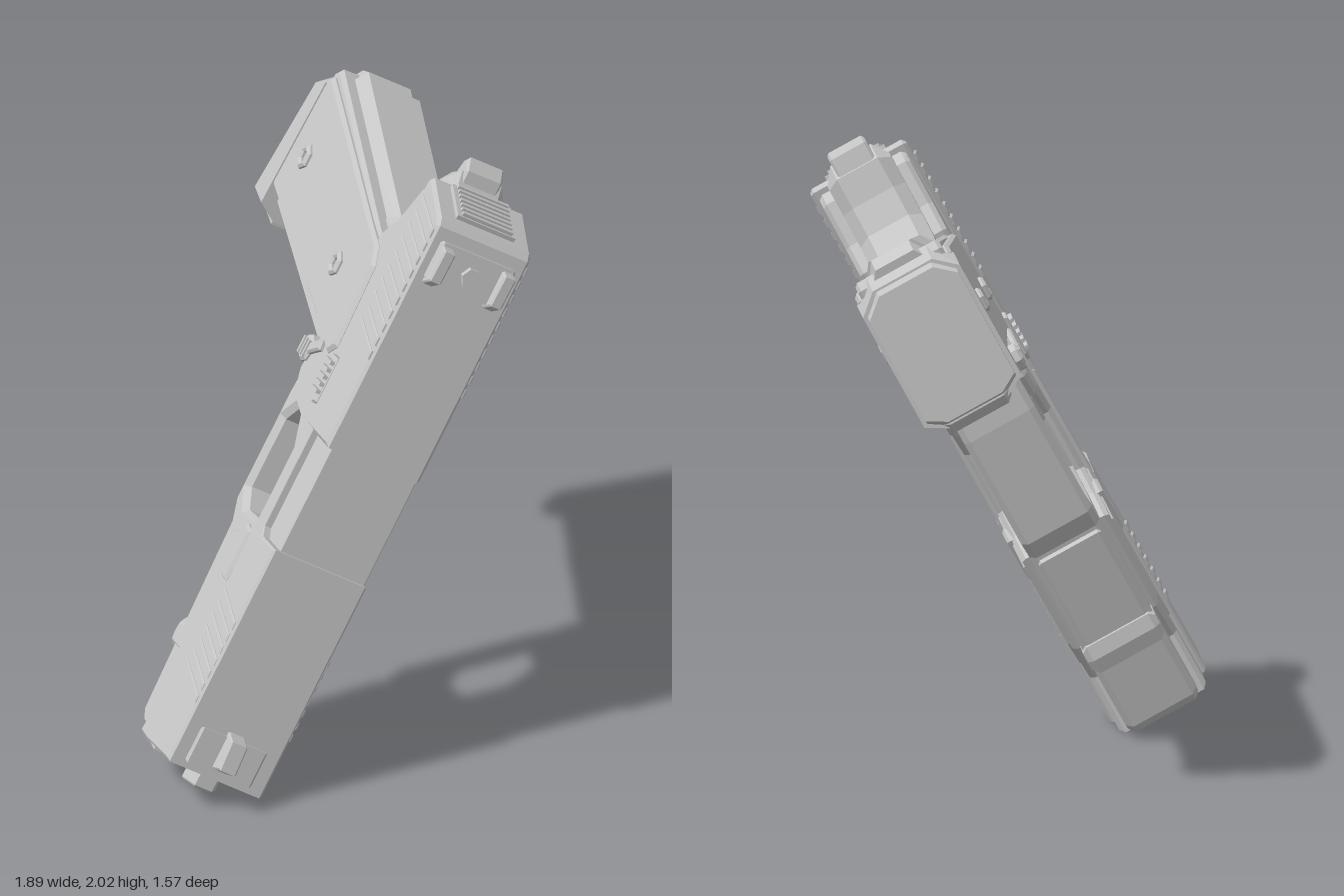
import * as THREE from 'three';

const steel = new THREE.MeshStandardMaterial({ color: 0xc6c6c6 });
steel.name = 'light steel grey';

// Local frame: x runs from muzzle to rear, y is up from the grip to the sights, z is across.
export function createModel() {
  const body = new THREE.Group();
  body.name = 'pistol';

  function add(name, geometry, x = 0, y = 0, z = 0) {
    const mesh = new THREE.Mesh(geometry, steel);
    mesh.name = name;
    mesh.position.set(x, y, z);
    body.add(mesh);
    return mesh;
  }
  const toShape = points => new THREE.Shape(points.map(p => new THREE.Vector2(...p)));
  // Side profile extruded across z, with chamfered edges
  function plate(name, points, half, bevel = 0.012, hole = null, z = 0) {
    const shape = toShape(points);
    if (hole) shape.holes.push(new THREE.Path(hole.map(p => new THREE.Vector2(...p))));
    const g = new THREE.ExtrudeGeometry(shape, {
      depth: 2 * (half - bevel), bevelEnabled: true, bevelThickness: bevel,
      bevelSize: bevel, bevelOffset: -bevel, bevelSegments: 1,
    });
    g.translate(0, 0, bevel - half);
    return add(name, g, 0, 0, z);
  }
  // Cross-section (0..1 front to rear, z) swept between a top edge and a bottom edge
  function loft(name, section, [frontTop, rearTop, frontBottom, rearBottom]) {
    const g = new THREE.ExtrudeGeometry(toShape(section), { depth: 1, bevelEnabled: false });
    const pos = g.attributes.position;
    const mix = THREE.MathUtils.lerp;
    for (let i = 0; i < pos.count; i++) {
      const s = pos.getX(i), d = pos.getZ(i), z = pos.getY(i);
      const [x, y] = [0, 1].map(k => mix(mix(frontTop[k], rearTop[k], s), mix(frontBottom[k], rearBottom[k], s), d));
      pos.setXYZ(i, x, y, z);
    }
    g.computeVertexNormals();
    return add(name, g);
  }
  const rect = (x0, x1, y0, y1) => [[x0, y0], [x1, y0], [x1, y1], [x0, y1]];
  const ngon = (r, n) => Array.from({ length: n }, (_, i) =>
    [r * Math.cos(2 * Math.PI * i / n), r * Math.sin(2 * Math.PI * i / n)]);
  const octagon = (flat, half, a, b) => [[0, -flat], [a, -half], [b, -half], [1, -flat],
    [1, flat], [b, half], [a, half], [0, flat]];

  // Slide: full-height ends and a lowered middle with the ejection port on the -z side
  plate('slideFront', [[-0.215, 0.46], [0.57, 0.46], [0.57, 0.7], [-0.21, 0.7]], 0.178, 0.008);
  plate('slideRear', [[0.95, 0.46], [1.86, 0.46], [1.87, 0.48], [1.795, 0.68], [1.77, 0.7], [0.95, 0.7]], 0.178, 0.012);
  plate('slideMiddle', rect(0.55, 0.97, 0.46, 0.68), 0.162, 0.004, null, 0.013);
  plate('ejectionPortSill', [[0.55, 0.46], [0.97, 0.46], [0.97, 0.53], [0.6, 0.53], [0.55, 0.58]], 0.02, 0.004, null, -0.156);

  // Shallow slanted serrations on both sides of the slide
  function serrations(name, start, count, pitch) {
    for (let i = 0; i < count; i++) {
      const x = start + i * pitch, w = pitch * 0.6;
      plate(name, [[x + 0.055, 0.485], [x + w + 0.055, 0.485], [x + w, 0.692], [x, 0.692]], 0.185, 0.005);
    }
  }
  serrations('rearSerration', 1.27, 10, 0.05);
  serrations('frontSerration', 0.0, 7, 0.045);

  // Ribbed plate on the sloping rear of the slide
  const rearPlate = new THREE.Group();
  rearPlate.name = 'rearPlate';
  rearPlate.position.set(1.835, 0.575, 0);
  rearPlate.rotation.z = 0.36;
  rearPlate.add(add('rearPlatePanel', new THREE.BoxGeometry(0.03, 0.17, 0.22)));
  for (let i = -3; i <= 3; i++)
    rearPlate.add(add('rearPlateRib', new THREE.BoxGeometry(0.016, 0.013, 0.19), 0.019, i * 0.024, 0));
  body.add(rearPlate);

  // Sights
  plate('frontSight', [[-0.18, 0.69], [-0.04, 0.69], [-0.06, 0.76], [-0.16, 0.775]], 0.032, 0.006);
  plate('frontSightBase', rect(-0.19, -0.06, 0.68, 0.71), 0.125, 0.008);
  plate('rearSightBase', rect(1.59, 1.73, 0.69, 0.722), 0.14, 0.008);
  for (const s of [-1, 1])
    plate('rearSightPost', [[1.57, 0.69], [1.725, 0.69], [1.71, 0.76], [1.6, 0.755]], 0.022, 0.006, null, s * 0.115);
  add('rearSightBolt', new THREE.CylinderGeometry(0.035, 0.035, 0.035, 6).toNonIndexed(), 1.655, 0.725, 0)
    .geometry.computeVertexNormals();

  // Barrel tip and recoil rod end
  function hexRing(name, r, inner, depth, x, y) {
    const mesh = plate(name, ngon(r, 6), depth, 0.006, ngon(inner, 6));
    mesh.position.set(x, y, 0);
    mesh.rotation.y = Math.PI / 2;
  }
  hexRing('barrelTip', 0.064, 0.032, 0.04, -0.225, 0.595);
  hexRing('recoilRodEnd', 0.05, 0.025, 0.015, -0.212, 0.36);

  // Lower frame with the trigger guard opening
  plate('lowerFrame', [[-0.215, 0.48], [-0.215, 0.25], [-0.18, 0.2], [0.08, 0.18], [0.5, 0.15], [0.57, 0.098],
    [0.97, 0.098], [1.15, 0.12], [1.2, 0.48]], 0.13, 0.02,
  [[0.575, 0.32], [0.57, 0.21], [0.63, 0.14], [0.88, 0.14], [0.94, 0.2], [0.92, 0.33], [0.81, 0.41], [0.64, 0.405]]);
  plate('railStop', [[0.05, 0.3], [0.05, 0.15], [0.1, 0.14], [0.15, 0.15], [0.15, 0.3]], 0.134, 0.02);
  plate('frontRail', [[0.13, 0.28], [0.13, 0.165], [0.48, 0.135], [0.52, 0.22]], 0.115, 0.01);

  // Upper frame under the slide, reaching back to the tang
  plate('upperFrame', [[-0.235, 0.48], [-0.225, 0.33], [-0.02, 0.36], [0.12, 0.28], [0.49, 0.23], [0.54, 0.35],
    [0.61, 0.425], [0.83, 0.43], [0.94, 0.345], [0.975, 0.21], [1.06, 0.16], [1.16, 0.17], [1.25, 0.25], [1.6, 0.26],
    [1.68, 0.34], [1.82, 0.41], [1.85, 0.48]], 0.161, 0.015);
  plate('frameSidePanel', [[0.01, 0.475], [0.03, 0.4], [0.14, 0.3], [0.46, 0.255], [0.52, 0.36], [0.6, 0.475]], 0.167, 0.006);
  plate('takedownPlate', [[0.36, 0.44], [0.37, 0.38], [0.53, 0.35], [0.56, 0.39], [0.55, 0.45]], 0.178, 0.01);

  // Tang flaring out of the frame and curving into the back strap
  plate('tang', [[1.45, 0.48], [1.85, 0.475], [1.92, 0.44], [1.89, 0.37], [1.79, 0.33],
    [1.7, 0.27], [1.655, 0.19], [1.66, 0.08], [1.45, 0.05]], 0.115, 0.04);
  plate('tangTip', [[1.8, 0.46], [1.93, 0.455], [1.968, 0.42], [1.95, 0.395], [1.8, 0.34]], 0.068, 0.008);

  // Grip core: chamfered section that leans back and widens towards the base
  loft('gripCore', octagon(0.08, 0.14, 0.1, 0.85), [[1.075, 0.3], [1.61, 0.3], [1.325, -0.68], [1.905, -0.62]]);
  loft('gripCoreEnd', octagon(0.07, 0.125, 0.1, 0.85), [[1.325, -0.67], [1.905, -0.62], [1.36, -0.72], [1.89, -0.69]]);

  // Grip base: wider cap with a sloping underside and a small front lip
  const cap = octagon(0.11, 0.18, 0.08, 0.88);
  loft('gripBase', cap, [[1.31, -0.7], [1.875, -0.66], [1.335, -0.81], [1.845, -0.73]]);
  loft('gripBaseUnderside', octagon(0.1, 0.165, 0.08, 0.88), [[1.335, -0.8], [1.845, -0.72], [1.365, -0.84], [1.825, -0.75]]);
  plate('gripBaseLip', [[1.295, -0.73], [1.31, -0.8], [1.35, -0.83], [1.45, -0.8], [1.45, -0.7]], 0.12, 0.02);

  // Grip side panels with a stepped rim
  const panel = [[1.17, 0.33], [1.21, 0.38], [1.5, 0.36], [1.56, 0.31], [1.59, 0.2], [1.84, -0.65], [1.82, -0.68],
    [1.45, -0.72], [1.42, -0.69], [1.23, 0.12]];
  plate('gripRim', panel.map(([x, y]) => [1.5 + (x - 1.5) * 1.1, -0.17 + (y + 0.17) * 1.02]), 0.156, 0.012);
  plate('gripPanel', panel, 0.175, 0.012);

  // Ribs along the front strap
  for (let i = 0; i < 10; i++) {
    const y = 0.0 - i * 0.071;
    const rib = add('frontStrapRib', new THREE.BoxGeometry(0.04, 0.034, 0.14), 1.11 + (0.2 - y) * 0.26, y, 0);
    rib.rotation.z = 0.26;
  }

  // Controls on both sides
  for (const s of [-1, 1]) {
    for (const [x, y] of [[1.41, 0.09], [1.58, -0.54]]) {
      const ring = plate('gripScrew', ngon(0.044, 6), 0.016, 0.008, ngon(0.02, 6));
      ring.position.set(x, y, s * 0.175);
    }
    plate('slideStop', [[1.02, 0.43], [1.05, 0.4], [1.19, 0.4], [1.19, 0.47], [1.03, 0.47]], 0.02, 0.006, null, s * 0.165);
    for (let i = 0; i < 5; i++)
      add('slideStopRib', new THREE.BoxGeometry(0.013, 0.06, 0.05), 1.065 + i * 0.026, 0.437, s * 0.173);
    const button = plate('magazineButton', ngon(0.048, 8), 0.03, 0.01);
    button.position.set(1.13, 0.16, s * 0.147);
    for (let i = -1; i <= 1; i++)
      add('magazineButtonRib', new THREE.BoxGeometry(0.06, 0.012, 0.014), 1.13, 0.16 + i * 0.024, s * 0.175);
    plate('framePin', [[1.12, 0.2], [1.16, 0.19], [1.2, 0.27], [1.16, 0.28]], 0.02, 0.008, null, s * 0.16);
  }

  // Tilt the whole piece and set it on the ground
  const rear = new THREE.Vector3(0.457, 0.872, 0.176).normalize();
  const across = new THREE.Vector3(0.736, -0.482, 0.476).normalize();
  const up = new THREE.Vector3().crossVectors(across, rear).normalize();
  across.crossVectors(rear, up);
  body.quaternion.setFromRotationMatrix(new THREE.Matrix4().makeBasis(rear, up, across));
  body.position.copy(across).multiplyScalar(-0.49);
  const model = new THREE.Group();
  model.name = 'model';
  model.add(body);
  return model;
}
